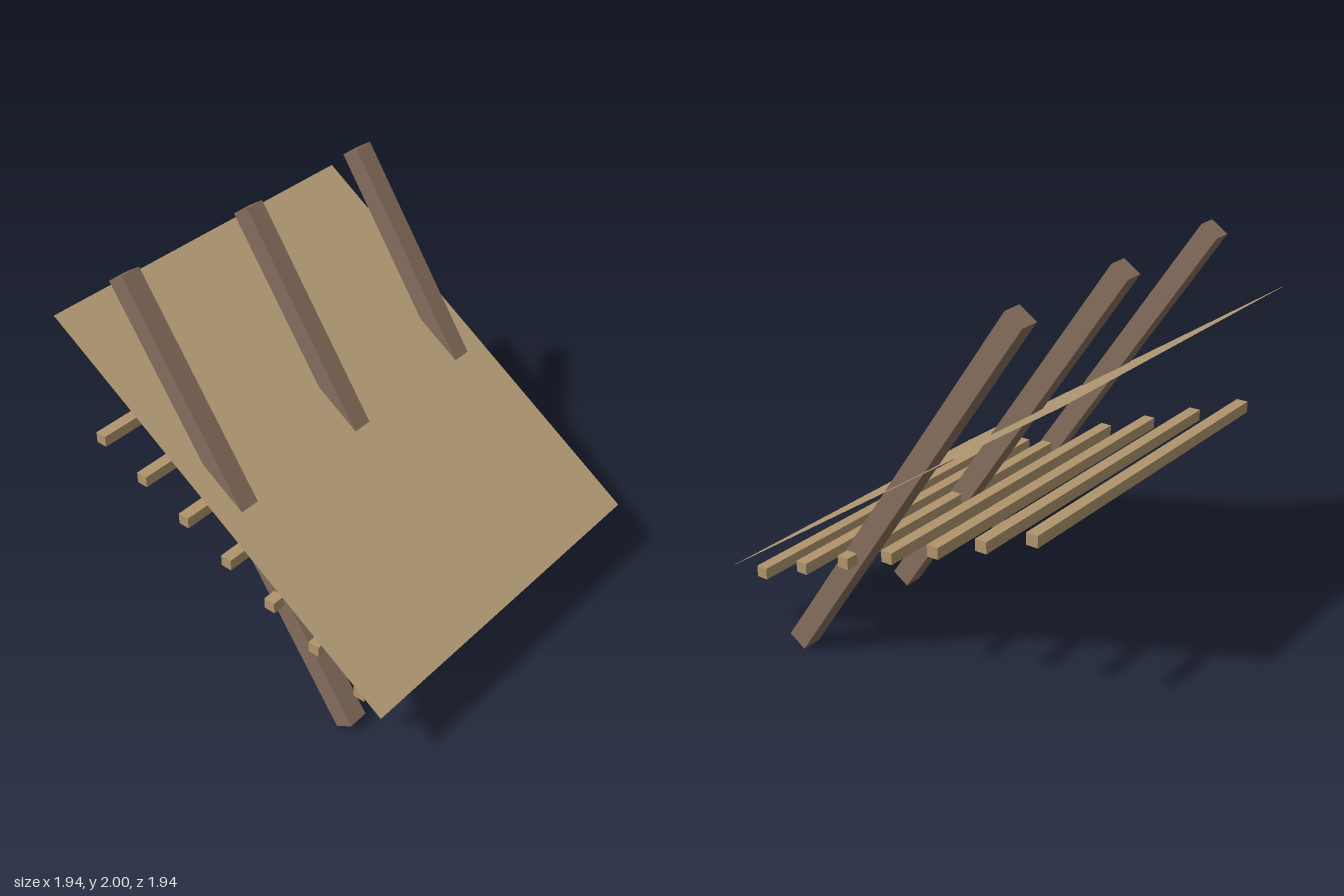
import * as THREE from 'three';

export function createModel() {
  const group = new THREE.Group();
  const beamWood = new THREE.MeshStandardMaterial({ color: 0x856d5c });
  beamWood.name = 'dark beam wood';
  const lathWood = new THREE.MeshStandardMaterial({ color: 0xb0946c });
  lathWood.name = 'light lath wood';
  const sheetWood = new THREE.MeshStandardMaterial({ color: 0xb39a75, side: THREE.DoubleSide });
  sheetWood.name = 'tan sheet';

  const add = (name, geometry, material, x, y, z, tilt = 0) => {
    const mesh = new THREE.Mesh(geometry, material);
    mesh.name = name;
    mesh.position.set(x, y, z);
    mesh.rotation.x = tilt;
    group.add(mesh);
  };

  // Three leaning rafters
  const rafter = new THREE.BoxGeometry(0.105, 2.34, 0.105);
  for (const x of [-0.8, 0, 0.8]) add('rafter', rafter, beamWood, x, 1, 0, -0.594);

  // Seven cross battens rising toward the back
  const batten = new THREE.BoxGeometry(1.84, 0.058, 0.06);
  for (let i = 0; i < 7; i++) {
    add('batten', batten, lathWood, 0, 0.397 + i * 0.109, 0.8 - i * 0.2667);
  }

  // Thin sloping roof sheet
  add('roofSheet', new THREE.PlaneGeometry(1.942, 2.34), sheetWood, 0, 1.05, 0, -0.977);

  return group;
}
